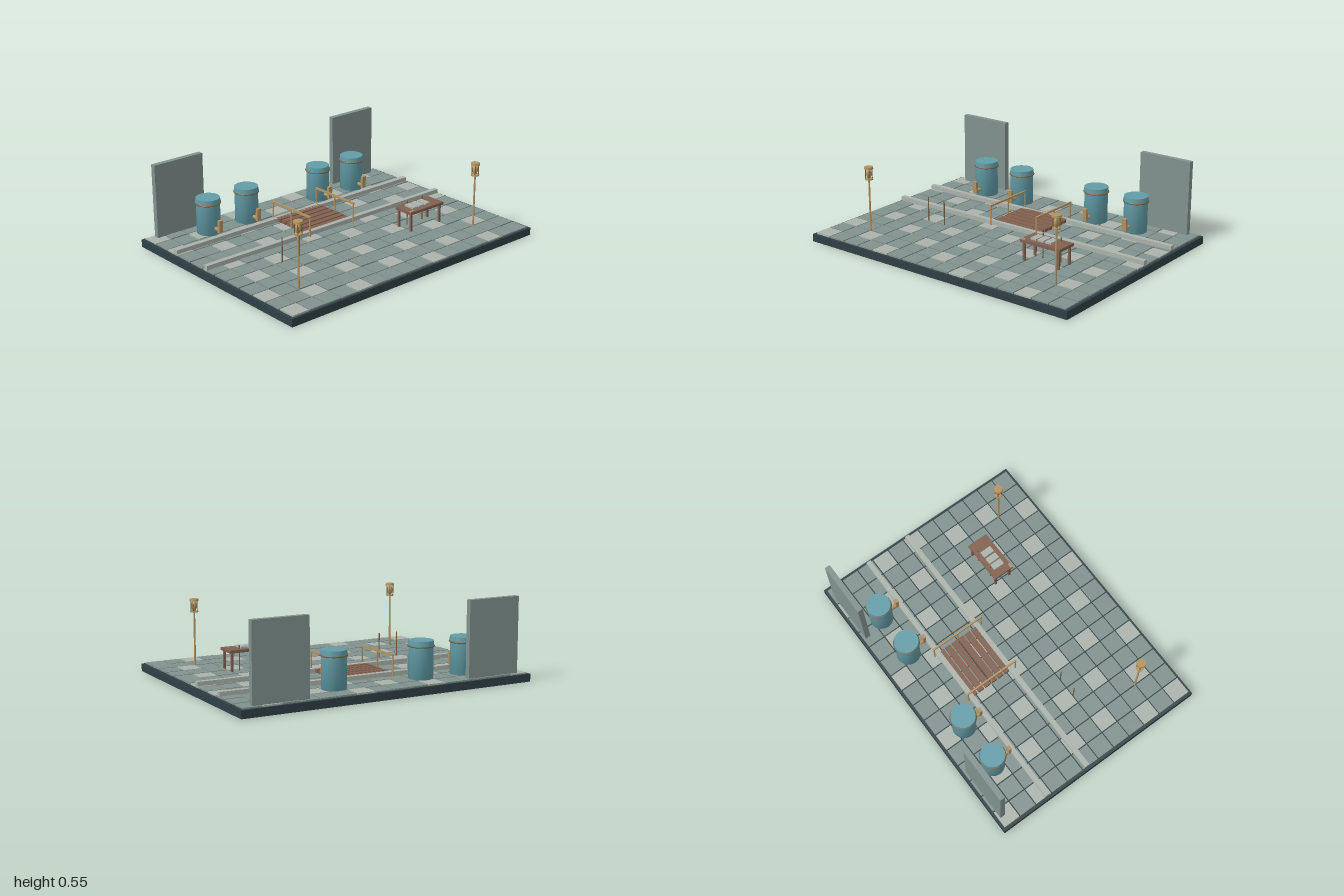
import * as THREE from 'three';

const mat = (name, color, extra = {}) => {
  const m = new THREE.MeshStandardMaterial({ color, ...extra });
  m.name = name;
  return m;
};

export function createModel() {
  const root = new THREE.Group();
  root.name = 'waterCourtyard';
  const slate = mat('dark slate', 0x2f4045);
  const stone = mat('grey green stone', 0x80918e);
  const pale = mat('pale stone', 0xabb2ab);
  const teal = mat('teal', 0x629ca7);
  const wood = mat('red brown wood', 0x82604f);
  const brass = mat('brass', 0xb39361);
  const bronze = mat('dark bronze', 0x7b6140);

  const add = (parent, name, geo, material, x, y, z) => {
    const mesh = new THREE.Mesh(geo, material);
    mesh.name = name;
    mesh.position.set(x, y, z);
    parent.add(mesh);
    return mesh;
  };
  const box = (parent, name, m, w, h, d, x, y, z) =>
    add(parent, name, new THREE.BoxGeometry(w, h, d), m, x, y, z);
  const rod = (parent, name, m, r, y0, y1, x, z, rTop = r, sides = 12) =>
    add(parent, name, new THREE.CylinderGeometry(rTop, r, y1 - y0, sides), m, x, (y0 + y1) / 2, z);
  const group = (name, x = 0, z = 0) => {
    const g = new THREE.Group();
    g.name = name;
    g.position.set(x, 0, z);
    root.add(g);
    return g;
  };

  // Base slab and paving
  box(root, 'base', slate, 2, 0.05, 1.5, 0, 0.025, 0);
  const paving = group('paving');
  const pitch = 0.123;
  for (let j = 0; j < 12; j++) {
    for (let i = 0; i < 16; i++) {
      const light = (2 * i + 5 * j) % 9 < 2;
      const h = 0.008 + ((i * 3 + j * 5) % 4) * 0.0008;
      box(paving, 'tile', light ? pale : stone, 0.115, h, 0.115,
        (i - 7.5) * pitch, 0.05 + h / 2, (j - 5.5) * pitch);
    }
  }

  // Channel kerbs
  for (const z of [-0.403, -0.09]) box(root, 'kerb', pale, 1.96, 0.037, 0.033, 0, 0.0685, z);

  // Plank bridge with handrails
  const bridge = group('bridge');
  for (let i = 0; i < 6; i++) box(bridge, 'plank', wood, 0.37, 0.022, 0.041, 0, 0.076, -0.12 - i * 0.052);
  for (const x of [-0.185, 0.185]) {
    for (const z of [-0.06, -0.245, -0.43]) rod(bridge, 'railPost', brass, 0.005, 0.05, 0.195, x, z);
    box(bridge, 'handrail', brass, 0.011, 0.012, 0.38, x, 0.192, -0.245);
  }

  // Water barrels with taps
  const barrelProfile = [[0, 0.05], [0.077, 0.05], [0.077, 0.264]].map(p => new THREE.Vector2(...p));
  for (const x of [-0.615, -0.308, 0.303, 0.61]) {
    const b = group('barrel', x, -0.555);
    add(b, 'barrelBody', new THREE.LatheGeometry(barrelProfile, 32), teal, 0, 0, 0);
    rod(b, 'barrelLid', teal, 0.081, 0.262, 0.297, 0, 0, 0.078, 32);
    const band = add(b, 'barrelBand', new THREE.TorusGeometry(0.08, 0.005, 8, 32), bronze, 0, 0.263, 0);
    band.rotation.x = Math.PI / 2;
    const pipe = rod(b, 'tapPipe', brass, 0.012, 0, 0.06, 0, 0.1);
    pipe.rotation.x = Math.PI / 2;
    pipe.position.y = 0.105;
    const tap = box(b, 'tapHandle', brass, 0.029, 0.084, 0.02, 0, 0.133, 0.124);
    tap.rotation.x = 0.06;
  }

  // Rear wall panels
  for (const x of [-0.735, 0.735]) box(root, 'wallPanel', stone, 0.365, 0.495, 0.036, x, 0.2975, -0.702);

  // Lantern posts
  for (const x of [-0.735, 0.735]) {
    const l = group('lanternPost', x, 0.49);
    rod(l, 'pole', brass, 0.006, 0.05, 0.405, 0, 0);
    rod(l, 'lanternBase', brass, 0.027, 0.404, 0.412, 0, 0, 0.027, 20);
    const globe = add(l, 'lanternGlobe', new THREE.SphereGeometry(0.018, 16, 12), brass, 0, 0.443, 0);
    globe.scale.y = 1.75;
    for (let i = 0; i < 4; i++) {
      const a = Math.PI / 4 + i * Math.PI / 2;
      rod(l, 'lanternBar', bronze, 0.003, 0.41, 0.478, 0.021 * Math.cos(a), 0.021 * Math.sin(a), 0.003, 8);
    }
    rod(l, 'lanternCap', brass, 0.03, 0.476, 0.49, 0, 0, 0.028, 20);
  }

  // Work table with tablets
  const table = group('table', 0.488, 0.242);
  box(table, 'tableTop', wood, 0.294, 0.018, 0.144, 0, 0.187, 0);
  for (const x of [-0.128, 0.128]) {
    for (const z of [-0.055, 0.055]) box(table, 'tableLeg', wood, 0.014, 0.13, 0.014, x, 0.115, z);
  }
  for (const x of [-0.073, -0.02, 0.036]) box(table, 'tablet', pale, 0.044, 0.012, 0.078, x, 0.202, 0);
  box(table, 'tableTool', brass, 0.034, 0.008, 0.014, -0.13, 0.199, 0.064);

  // Slim marker stakes
  for (const [x, z] of [[-0.56, 0.123], [-0.425, 0.123], [0.425, 0.195], [0.56, 0.195]])
    rod(root, 'stake', bronze, 0.004, 0.05, 0.222, x, z, 0.004, 8);

  return root;
}
